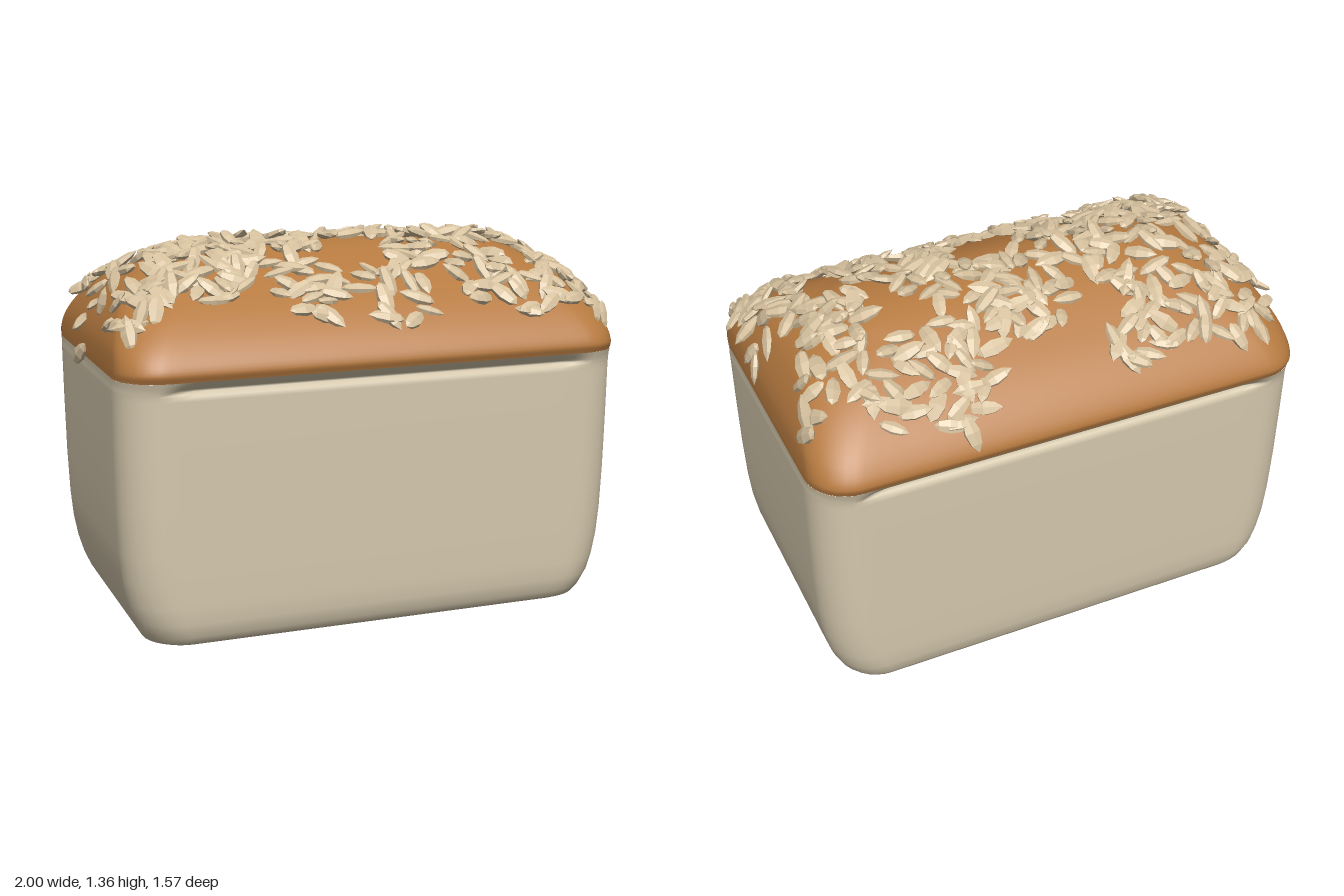
import * as THREE from 'three';
import { mergeGeometries, mergeVertices } from 'three/addons/utils/BufferGeometryUtils.js';

const TURN = 0.32; // the loaf sits turned on its base
const crust = new THREE.MeshStandardMaterial({ color: 0xb67a40 });
crust.name = 'golden crust';
const crumb = new THREE.MeshStandardMaterial({ color: 0xd6c9ae });
crumb.name = 'pale loaf side';
const seedMat = new THREE.MeshStandardMaterial({ color: 0xd6c19e, flatShading: true });
seedMat.name = 'seed';

let state = 7;
function rand() {
  state = (state * 16807) % 2147483647;
  return state / 2147483647;
}

// Outline of a rounded rectangle: half length a, half width b, corner radius r
function roundedOutline(a, b, r) {
  const pts = [], corner = 8, sides = [8, 32, 8, 32];
  const signs = [[1, 1], [-1, 1], [-1, -1], [1, -1]];
  r = Math.min(r, a, b);
  const at = (k, t) => {
    const [sx, sz] = signs[k % 4];
    const ang = (k + t) * Math.PI / 2;
    return [sx * (a - r) + Math.cos(ang) * r, sz * (b - r) + Math.sin(ang) * r];
  };
  for (let k = 0; k < 4; k++) {
    for (let i = 0; i <= corner; i++) pts.push(at(k, i / corner));
    const p = at(k, 1), q = at(k + 1, 0), n = sides[(k + 1) % 4];
    for (let i = 1; i < n; i++) {
      pts.push([p[0] + (q[0] - p[0]) * i / n, p[1] + (q[1] - p[1]) * i / n]);
    }
  }
  return pts;
}

// Skin a stack of rings { y, a, b, r, pinch }; pinch pulls in the long sides only
function skin(rings) {
  const pos = [], index = [];
  let n = 0;
  rings.forEach(({ y, a, b, r, pinch = 0 }) => {
    const pts = roundedOutline(a, b, r);
    n = pts.length;
    for (const [x, z] of pts) {
      const k = 1 - THREE.MathUtils.smoothstep(Math.abs(x), 0.68, 0.77);
      pos.push(x, y, z - Math.sign(z) * pinch * k);
    }
  });
  for (let i = 0; i < rings.length - 1; i++) {
    for (let j = 0; j < n; j++) {
      const p = i * n + j, q = i * n + (j + 1) % n;
      index.push(p, p + n, q, q, p + n, q + n);
    }
  }
  let g = new THREE.BufferGeometry();
  g.setAttribute('position', new THREE.Float32BufferAttribute(pos, 3));
  g.setIndex(index);
  g = mergeVertices(g, 1e-5);
  g.computeVertexNormals();
  return g;
}

function makeBody() {
  // height, half length, half width, corner radius, groove depth
  const rows = [
    [0, 0.3, 0, 0], [0, 0.74, 0.42, 0.1], [0.006, 0.79, 0.465, 0.12], [0.02, 0.82, 0.495, 0.14],
    [0.05, 0.838, 0.517, 0.15], [0.1, 0.86, 0.53, 0.15], [0.16, 0.878, 0.533, 0.15],
    [0.24, 0.893, 0.535, 0.15], [0.34, 0.902, 0.537, 0.15], [0.5, 0.908, 0.539, 0.15],
    [0.7, 0.911, 0.541, 0.15], [0.87, 0.912, 0.543, 0.15], [0.886, 0.912, 0.544, 0.15, 0.003],
    [0.893, 0.912, 0.545, 0.15, 0.012], [0.899, 0.912, 0.546, 0.15, 0.026],
    [0.908, 0.911, 0.548, 0.15, 0.02], [0.92, 0.91, 0.552, 0.15, 0.008], [0.936, 0.91, 0.558, 0.15],
  ];
  return skin(rows.map(([y, a, b, r, pinch]) => ({ y, a, b, r, pinch })));
}

function makeDome() {
  // Each point holds half length, height, half width
  const profile = new THREE.CatmullRomCurve3([
    [0.91, 0.936, 0.558], [0.908, 0.965, 0.567], [0.897, 1.03, 0.53], [0.855, 1.12, 0.435],
    [0.79, 1.2, 0.31], [0.68, 1.262, 0.19], [0.54, 1.297, 0.09], [0.4, 1.31, 0],
  ].map((p) => new THREE.Vector3(...p)));
  return skin(profile.getPoints(35).map((p) => ({
    y: p.y, a: p.x, b: Math.max(p.z, 0), r: 0.15 + (0.567 - p.z) * 0.2,
  })));
}

function makeSeeds(dome) {
  const seed = new THREE.LatheGeometry(
    [[0, -0.06], [0.019, -0.045], [0.028, -0.005], [0.02, 0.035], [0, 0.062]]
      .map((p) => new THREE.Vector2(...p)), 6);
  seed.scale(1, 1, 0.55);

  // Loose clusters on the crust: x, z, spread, count
  const clusters = [
    [-0.76, -0.09, 0.17, 36], [-0.52, -0.15, 0.15, 18], [-0.4, -0.29, 0.08, 9],
    [-0.35, 0.02, 0.15, 16], [-0.45, 0.37, 0.19, 42], [-0.65, 0.53, 0.1, 16],
    [-0.8, 0.25, 0.09, 9], [-0.57, 0.15, 0.1, 8], [-0.2, 0.17, 0.15, 18],
    [-0.08, 0.39, 0.13, 16], [0.21, 0.32, 0.13, 15], [-0.02, -0.14, 0.18, 36],
    [0.25, -0.1, 0.14, 17], [0.2, -0.4, 0.13, 17], [0.2, -0.57, 0.07, 6],
    [0.4, -0.5, 0.15, 18], [0.6, -0.45, 0.12, 11], [0.69, -0.6, 0.04, 3],
    [0.6, -0.24, 0.12, 17], [0.45, -0.06, 0.09, 6], [0.28, 0.09, 0.09, 10],
    [0.54, 0.16, 0.13, 15], [0.8, -0.1, 0.12, 14], [0.84, 0.1, 0.11, 13],
    [0.68, 0.2, 0.1, 8], [0.94, 0.13, 0.04, 3], [-0.68, 0.66, 0.03, 3],
  ];
  const ray = new THREE.Raycaster();
  const down = new THREE.Vector3(0, -1, 0), zAxis = new THREE.Vector3(0, 0, 1);
  const c = Math.cos(TURN), s = Math.sin(TURN);
  const parts = [], placed = [];
  for (const [cx, cz, spread, count] of clusters) {
    for (let i = 0; i < count; i++) {
      let u, w;
      // Try a few spots so that seeds do not pile up
      for (let tries = 0; tries < 8; tries++) {
        const ang = rand() * Math.PI * 2, d = Math.sqrt(rand()) * spread;
        const x = cx + Math.cos(ang) * d, z = cz + Math.sin(ang) * d;
        u = x * c - z * s;
        w = x * s + z * c;
        if (placed.every(([pu, pw]) => Math.hypot(pu - u, pw - w) > 0.045)) break;
      }
      placed.push([u, w]);
      ray.set(new THREE.Vector3(u, 3, w), down);
      const hit = ray.intersectObject(dome)[0];
      if (!hit) continue;
      const n = hit.face.normal;
      const q = new THREE.Quaternion().setFromUnitVectors(zAxis, n);
      const yaw = rand() * Math.PI * 2, tilt = (rand() - 0.5) * 0.9, roll = (rand() - 0.5) * 0.8;
      q.multiply(new THREE.Quaternion().setFromEuler(new THREE.Euler(tilt, roll, yaw, 'ZXY')));
      const size = 0.85 + rand() * 0.3;
      const place = hit.point.clone().addScaledVector(n, 0.014);
      parts.push(seed.clone().applyMatrix4(
        new THREE.Matrix4().compose(place, q, new THREE.Vector3(size, size, size))));
    }
  }
  return mergeGeometries(parts);
}

export function createModel() {
  const model = new THREE.Group();
  model.name = 'seededLoaf';
  const loaf = new THREE.Group();
  loaf.name = 'loaf';
  loaf.rotation.y = TURN;

  const body = new THREE.Mesh(makeBody(), crumb);
  body.name = 'loafBody';
  const dome = new THREE.Mesh(makeDome(), crust);
  dome.name = 'domedCrust';
  const seeds = new THREE.Mesh(makeSeeds(dome), seedMat);
  seeds.name = 'seeds';

  loaf.add(body, dome, seeds);
  model.add(loaf);
  return model;
}
